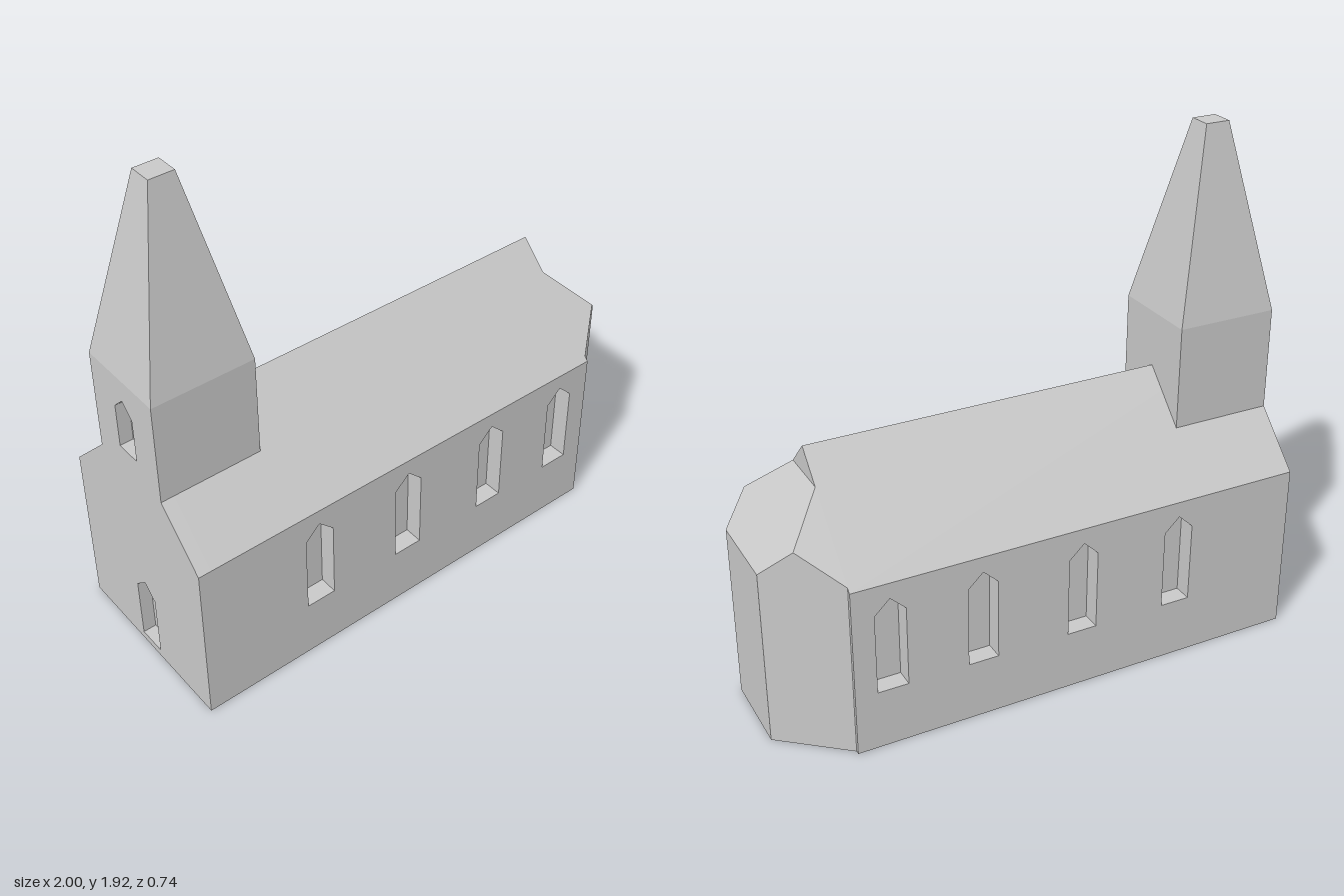
import * as THREE from 'three';
import { ConvexGeometry } from 'three/addons/geometries/ConvexGeometry.js';

const shapeOf = (pts) => new THREE.Shape(pts.map(([x, y]) => new THREE.Vector2(x, y)));

// Pointed opening: centre, width, sill, spring and apex heights
const lancet = (cx, w, sill, spring, apex) => new THREE.Path([
  [cx - w / 2, sill], [cx - w / 2, spring], [cx, apex], [cx + w / 2, spring], [cx + w / 2, sill],
].map(([x, y]) => new THREE.Vector2(x, y)));

const extrude = (shape, depth) => new THREE.ExtrudeGeometry(shape, { depth, bevelEnabled: false });

export function createModel() {
  const group = new THREE.Group();
  const stone = new THREE.MeshStandardMaterial({ color: 0xc8c8c8 });
  stone.name = 'stone grey';
  const add = (name, geometry) => {
    const mesh = new THREE.Mesh(geometry, stone);
    mesh.name = name;
    group.add(mesh);
    return mesh;
  };

  const west = -1, east = 0.76, half = 0.37, eaves = 0.655, ridge = 1.025;
  const recess = 0.07, facadeDepth = 0.05, inner = west + facadeDepth;
  const towerZ = 0.18, towerTop = 1.235, towerEast = -0.61;

  // Nave core with the pitched roof; its sides back the window recesses
  const s = half - recess;
  const core = extrude(shapeOf([
    [-s, 0], [s, 0], [s, eaves], [half, eaves], [0, ridge], [-half, eaves], [-s, eaves],
  ]), east - inner);
  core.rotateY(-Math.PI / 2).translate(east, 0, 0);
  add('naveRoofAndCore', core);

  // Long side walls pierced by pointed windows
  const wall = shapeOf([[inner, 0], [east, 0], [east, eaves], [inner, eaves]]);
  for (const x of [-0.515, -0.12, 0.275, 0.62]) {
    wall.holes.push(lancet(x, 0.115, 0.23, 0.54, 0.595));
  }
  const wallGeometry = extrude(wall, recess);
  add('frontWall', wallGeometry).position.z = s;
  add('backWall', wallGeometry).position.z = -half;

  // West facade: gable and tower face in one plane, with door and belfry window
  const shoulder = ridge - towerZ;
  const facade = shapeOf([
    [-half, 0], [half, 0], [half, eaves], [towerZ, shoulder], [towerZ, towerTop],
    [-towerZ, towerTop], [-towerZ, shoulder], [-half, eaves],
  ]);
  facade.holes.push(lancet(0, 0.11, 0.03, 0.28, 0.33), lancet(0, 0.1, 0.93, 1.1, 1.15));
  const facadeGeometry = extrude(facade, facadeDepth);
  facadeGeometry.rotateY(-Math.PI / 2).translate(inner, 0, 0);
  add('westFacade', facadeGeometry);

  // Tower body above the roof
  const towerBase = 0.6;
  const tower = new THREE.BoxGeometry(towerEast - inner, towerTop - towerBase, towerZ * 2);
  tower.translate((towerEast + inner) / 2, (towerTop + towerBase) / 2, 0);
  add('tower', tower);

  // Blunt four-sided spire
  const spireHeight = 0.69, towerX = (west + towerEast) / 2;
  let spire = new THREE.CylinderGeometry(Math.SQRT2 * 0.24, Math.SQRT2, spireHeight, 4);
  spire.rotateY(Math.PI / 4).scale((towerEast - west) / 2, 1, towerZ);
  spire.translate(towerX, towerTop + spireHeight / 2, 0);
  spire = spire.toNonIndexed();
  spire.computeVertexNormals();
  add('spire', spire);

  // Three-sided apse with a hipped roof
  const apsePoints = [];
  for (const m of [-1, 1]) {
    for (const [x, y, z] of [
      [east, 0, 0.355], [1, 0, 0.16], [1, 0.68, 0.16],
      [0.8979, 0.7821, 0.2429], [east, 0.67, 0.355], [east, 0.92, 0.105],
    ]) apsePoints.push(new THREE.Vector3(x, y, z * m));
  }
  add('apse', new ConvexGeometry(apsePoints));

  return group;
}
